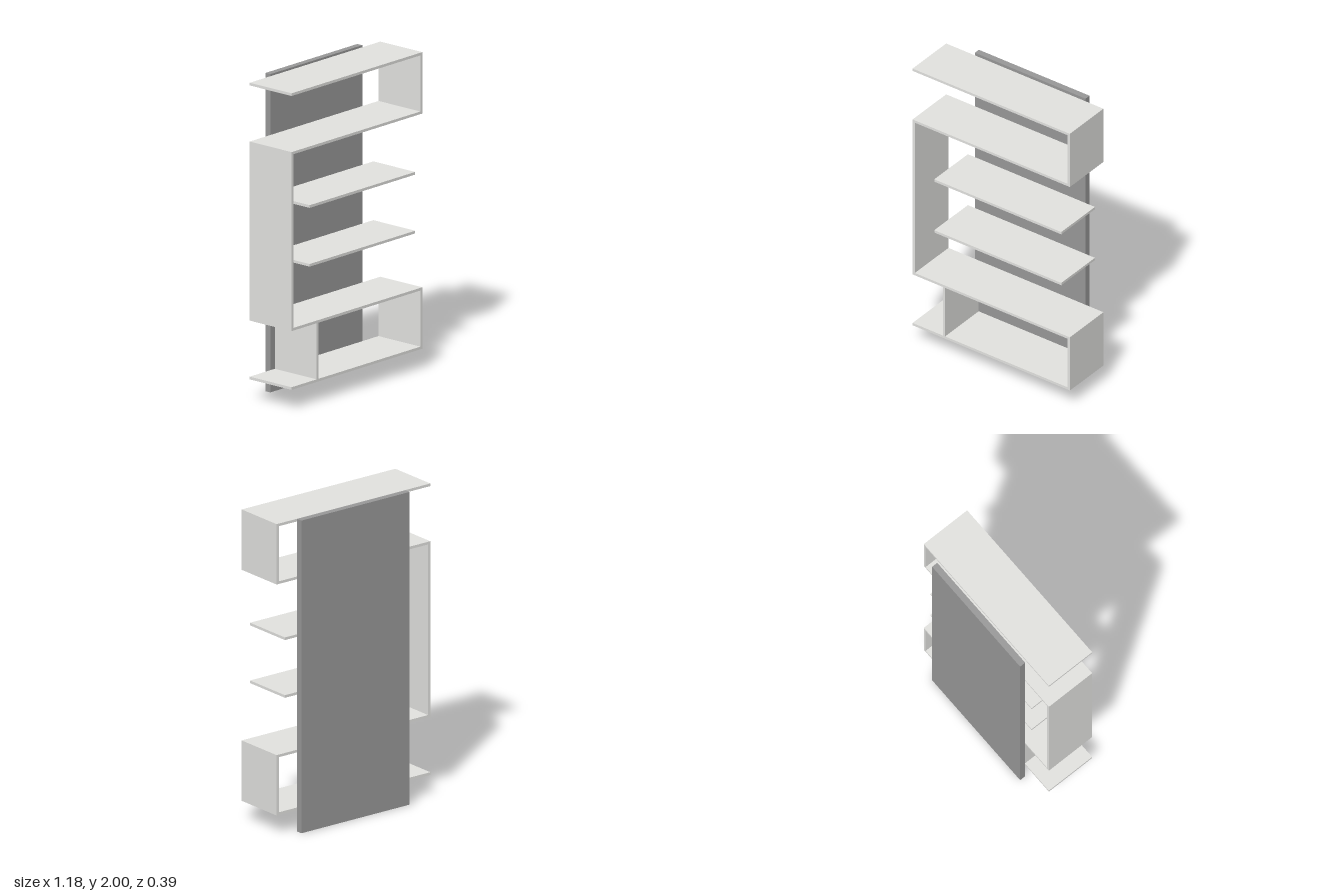
import * as THREE from 'three';

export function createModel() {
  const group = new THREE.Group();
  const paleBoard = new THREE.MeshStandardMaterial({ color: 0xe4e4e1 });
  paleBoard.name = 'pale board';
  const greyPanel = new THREE.MeshStandardMaterial({ color: 0x999999 });
  greyPanel.name = 'grey panel';

  // Box given by its extents
  const box = (name, material, x0, x1, y0, y1, z0, z1) => {
    const mesh = new THREE.Mesh(new THREE.BoxGeometry(x1 - x0, y1 - y0, z1 - z0), material);
    mesh.position.set((x0 + x1) / 2, (y0 + y1) / 2, (z0 + z1) / 2);
    mesh.name = name;
    group.add(mesh);
  };
  const T = 0.017; // board thickness
  const W = 0.591; // half width of the long boards
  const board = (name, x0, x1, y0, y1) => box(name, paleBoard, x0, x1, y0, y1, -0.142, 0.197);

  // Wall panel behind the shelves
  box('backPanel', greyPanel, -0.387, 0.445, 0, 2, -0.198, -0.158);

  // Six evenly spaced shelves, the two in the middle shorter
  const shelfY = (i) => 0.13 + i * 0.3694;
  for (let i = 0; i < 6; i++) {
    const short = i === 2 || i === 3;
    board(short ? 'shortShelf' : 'longShelf', short ? -0.428 : -W, short ? 0.527 : W, shelfY(i), shelfY(i) + T);
  }

  // Uprights joining the long shelves into a winding ribbon
  const upright = (name, x, from, to) => board(name, x, x + T, shelfY(from) + T, shelfY(to));
  upright('lowerUpright', W - T, 0, 1);
  upright('tallUpright', -W, 1, 4);
  upright('upperUpright', W - T, 4, 5);
  upright('lowerDivider', -0.364, 0, 1);

  return group;
}
